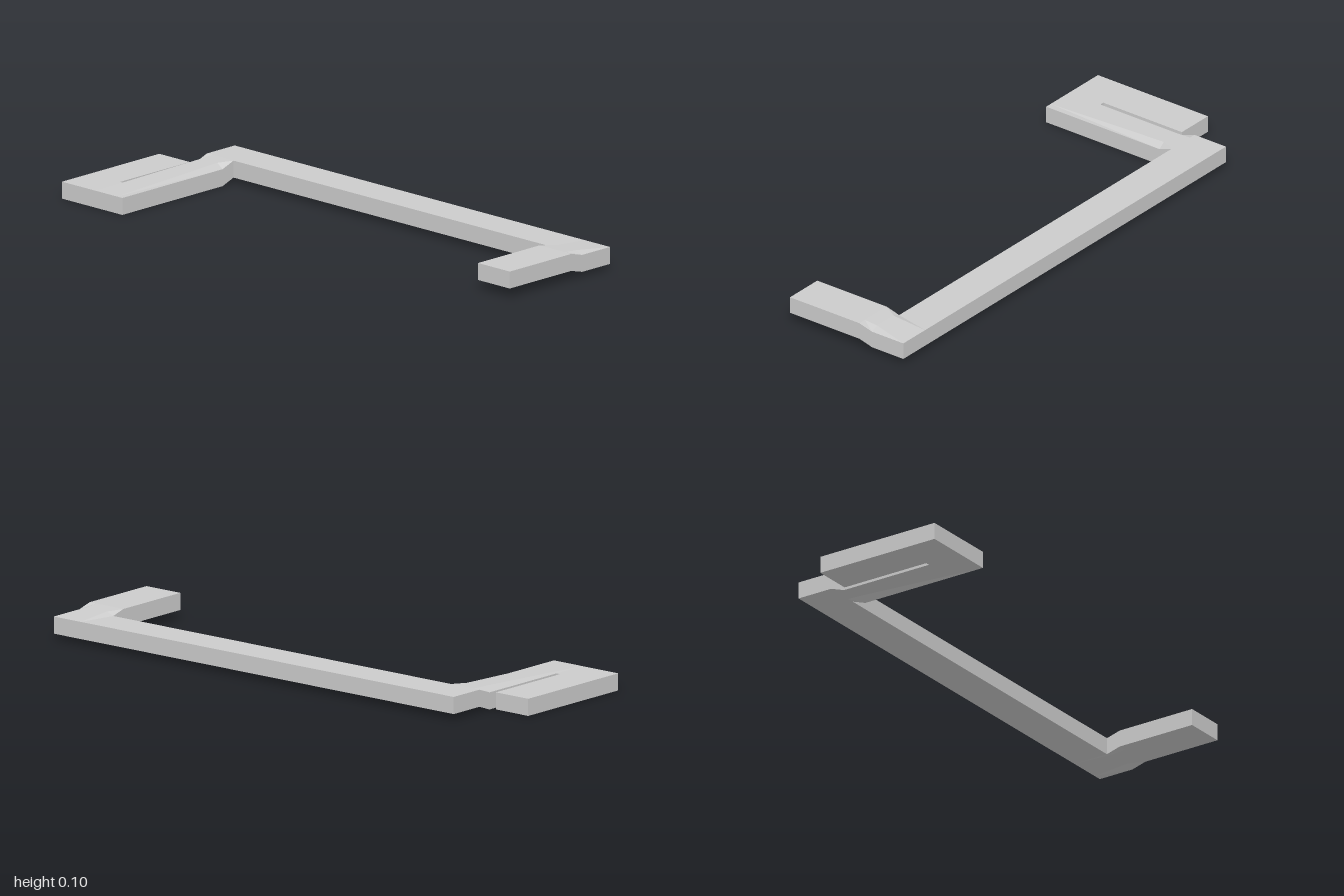
import * as THREE from 'three';

const T = 0.062; // plate thickness
const material = new THREE.MeshStandardMaterial({ color: 0xcccccc, flatShading: true });

function slab(name, x0, x1, y0, z0, z1) {
  const g = new THREE.BoxGeometry(x1 - x0, T, z1 - z0);
  g.translate((x0 + x1) / 2, y0 + T / 2, (z0 + z1) / 2);
  const mesh = new THREE.Mesh(g, material);
  mesh.name = name;
  return mesh;
}

// Bent strip along z; each station is [z, underside at the edges, underside in the middle]
function bentArm(name, x0, x1, stations) {
  const pos = [], index = [];
  const xs = [0, 0.2, 0.8, 1].map((t) => x0 + (x1 - x0) * t);
  for (const [z, edge, middle] of stations) {
    const ys = [edge, middle, middle, edge];
    for (let k = 0; k < 4; k++) pos.push(xs[k], ys[k], z);
    for (let k = 3; k >= 0; k--) pos.push(xs[k], ys[k] + T, z);
  }
  const quad = (a, b, c, d) => index.push(a, b, c, a, c, d);
  for (let i = 0; i < stations.length - 1; i++) {
    for (let k = 0; k < 8; k++) {
      const n = (k + 1) % 8;
      quad(i * 8 + k, i * 8 + n, i * 8 + 8 + n, i * 8 + 8 + k);
    }
  }
  // End caps
  const e = (stations.length - 1) * 8;
  for (let k = 0; k < 3; k++) {
    quad(e + k, e + k + 1, e + 6 - k, e + 7 - k);
    quad(k + 1, k, 7 - k, 6 - k);
  }
  let g = new THREE.BufferGeometry();
  g.setAttribute('position', new THREE.Float32BufferAttribute(pos, 3));
  g.setIndex(index);
  g = g.toNonIndexed();
  g.computeVertexNormals();
  const mesh = new THREE.Mesh(g, material);
  mesh.name = name;
  return mesh;
}

export function createModel() {
  const model = new THREE.Group();
  model.name = 'bentStripBracket';

  // Long bar along the back
  model.add(slab('crossBar', -0.705, 0.845, 0.02, -0.35, -0.21));

  // Short arm steps up, long arm steps down
  model.add(bentArm('raisedArm', 0.845, 1, [
    [-0.35, 0.02, 0.02], [-0.21, 0.02, 0.031], [-0.155, 0.035, 0.035], [0.155, 0.035, 0.035],
  ]));
  model.add(bentArm('loweredArm', -0.835, -0.705, [
    [-0.35, 0.02, 0.02], [-0.21, 0.02, 0.02], [-0.155, 0, 0.018], [0.35, 0, 0],
  ]));

  // Foot plate folded back beside the long arm, leaving a narrow slot
  model.add(slab('footPlate', -1, -0.852, 0, -0.14, 0.35));
  model.add(slab('footBridge', -0.852, -0.835, 0, 0.21, 0.35));

  return model;
}
